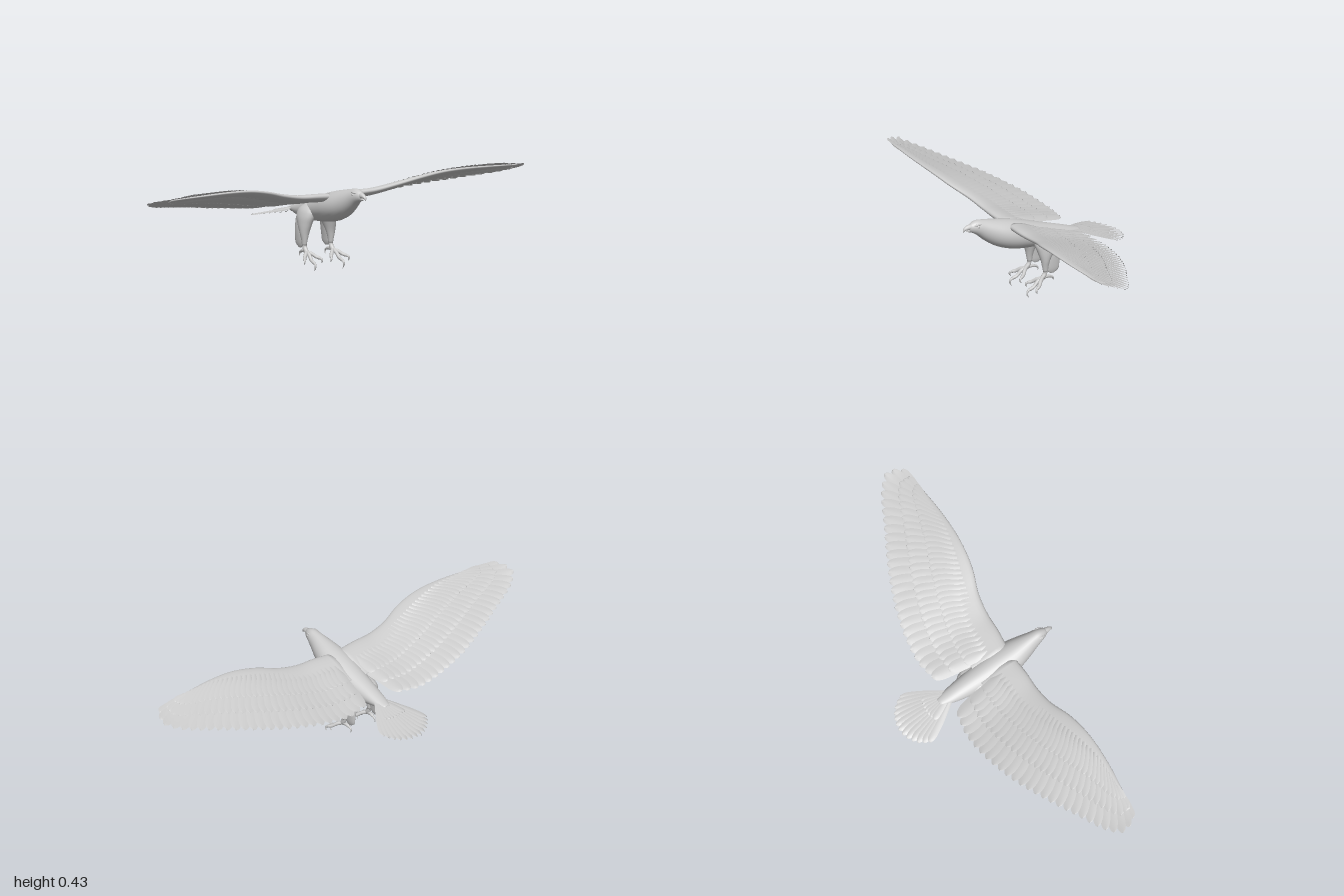
import * as THREE from 'three';
import { mergeGeometries } from 'three/addons/utils/BufferGeometryUtils.js';

const solid = new THREE.MeshStandardMaterial({ color: 0xcccccc });
const thin = new THREE.MeshStandardMaterial({ color: 0xcccccc, side: THREE.DoubleSide });
const { lerp, clamp } = THREE.MathUtils;

// Smooth lookup in rows of [key, ...values], keys ascending
function table(rows) {
  const f = new THREE.CubicInterpolant(rows.map(r => r[0]), rows.flatMap(r => r.slice(1)), rows[0].length - 1);
  return t => Array.from(f.evaluate(clamp(t, rows[0][0], rows.at(-1)[0])));
}

function build(positions, index) {
  const g = new THREE.BufferGeometry();
  g.setAttribute('position', new THREE.Float32BufferAttribute(positions, 3));
  g.setIndex(index);
  g.computeVertexNormals();
  return g;
}

// Capped skin over count+1 closed rings of n points; ringPoint(t, angle) -> [x, y, z]
function loft(count, n, ringPoint) {
  const pos = [], idx = [];
  for (let i = 0; i <= count; i++)
    for (let j = 0; j < n; j++) pos.push(...ringPoint(i / count, j / n * Math.PI * 2));
  for (let i = 0; i < count; i++)
    for (let j = 0; j < n; j++) {
      const a = i * n + j, b = i * n + (j + 1) % n;
      idx.push(a, b, a + n, b, b + n, a + n);
    }
  for (const row of [0, count]) {
    const c = [0, 0, 0], k = pos.length / 3;
    for (let j = 0; j < n; j++) for (let m = 0; m < 3; m++) c[m] += pos[(row * n + j) * 3 + m] / n;
    pos.push(...c);
    for (let j = 0; j < n; j++) {
      const a = row * n + j, b = row * n + (j + 1) % n;
      row ? idx.push(k, a, b) : idx.push(k, b, a);
    }
  }
  return build(pos, idx);
}

// Tapered tube through points [x, y, z, radius]
function taper(points, count = 10, n = 10) {
  const path = new THREE.CatmullRomCurve3(points.map(p => new THREE.Vector3(p[0], p[1], p[2])));
  const radius = table(points.map((p, i) => [i / (points.length - 1), p[3]]));
  const { normals, binormals } = path.computeFrenetFrames(count);
  return loft(count, n, (t, a) => {
    const i = Math.round(t * count), r = radius(t)[0];
    // frames are looked up by arc length, which is near enough to t on these short paths
    return path.getPoint(t).addScaledVector(normals[i], Math.cos(a) * r)
      .addScaledVector(binormals[i], Math.sin(a) * r).toArray();
  });
}

// Vertical loft from rows of [y, x, z, rx, rz], drawn top down
function limb(rows) {
  const f = table(rows), lo = rows[0][0], hi = rows.at(-1)[0];
  return loft(24, 20, (t, a) => {
    const y = lerp(hi, lo, t), [x, z, rx, rz] = f(y);
    return [x + rx * Math.cos(a), y, z + rz * Math.sin(a)];
  });
}

// Cambered feather from base to tip [x, z], resting on a height surface
function feather(base, tip, halfWidth, surface, liftBase, liftTip) {
  const pos = [], idx = [], U = 12, V = 4;
  const dx = tip[0] - base[0], dz = tip[1] - base[1], len = Math.hypot(dx, dz);
  for (let i = 0; i <= U; i++) {
    const t = 1 - (1 - i / U) ** 1.6;
    const end = t > 0.78 ? Math.sqrt(Math.max(0, 1 - ((t - 0.78) / 0.22) ** 2)) : 1;
    const w = halfWidth * Math.min(1, 0.45 + t) * end;
    for (let j = 0; j <= V; j++) {
      const s = j / V * 2 - 1;
      const x = base[0] + dx * t - dz / len * s * w, z = base[1] + dz * t + dx / len * s * w;
      pos.push(x, surface(x, z) + lerp(liftBase, liftTip, t) + 0.003 * s + 0.003 * (1 - s * s), z);
    }
  }
  for (let i = 0; i < U; i++)
    for (let j = 0; j < V; j++) {
      const a = i * (V + 1) + j, b = a + V + 1;
      idx.push(a, a + 1, b, a + 1, b + 1, b);
    }
  return build(pos, idx);
}

function add(parent, name, geometry, material = solid) {
  const m = new THREE.Mesh(geometry, material);
  m.name = name;
  parent.add(m);
  return m;
}

// Wing plan: leading edge [x, z, y] and trailing edge [x, z]
const lead = table([[0.03, 0.185, 0.34], [0.12, 0.192, 0.346], [0.2, 0.192, 0.35], [0.3, 0.205, 0.368], [0.4, 0.238, 0.394],
  [0.5, 0.256, 0.412], [0.6, 0.262, 0.418], [0.8, 0.25, 0.413], [0.95, 0.22, 0.403], [1, 0.17, 0.392]]);
const trailPoints = [[0.11, -0.16], [0.2, -0.175], [0.3, -0.168], [0.4, -0.148], [0.5, -0.118], [0.6, -0.078],
  [0.7, -0.03], [0.8, 0.022], [0.9, 0.073], [0.965, 0.115], [0.998, 0.16], [0.965, 0.217]];
const trail = table(trailPoints.slice(0, 11));
const spline = pts => new THREE.SplineCurve(pts.map(p => new THREE.Vector2(...p)));
const tips = spline(trailPoints);
const roots = spline([[0.06, 0.1], [0.2, 0.13], [0.35, 0.17], [0.5, 0.21], [0.62, 0.235], [0.72, 0.237], [0.8, 0.235]]);
function wingHeight(x, z) {
  const [zl, y] = lead(x);
  return y - lerp(0.22, 0.32, clamp((x - 0.1) / 0.4, 0, 1)) * (zl - z);
}

// Row of feathers spanning fractions from..to of the way from arm to trailing edge
function featherRow(count, from, to, width, liftBase, liftTip) {
  const list = [];
  for (let i = 0; i < count; i++) {
    const u = i / (count - 1), b = roots.getPointAt(u), e = tips.getPointAt(u);
    const p = b.clone().lerp(e, from).toArray(), q = b.clone().lerp(e, to).toArray();
    list.push(feather(p, q, width * lerp(1, 0.62, u * u), wingHeight, liftBase, liftTip));
  }
  return mergeGeometries(list);
}

function makeWing() {
  const g = new THREE.Group();
  g.name = 'wing';
  add(g, 'wingArm', loft(48, 28, (t, a) => {
    const x = lerp(0.03, 0.92, t), zl = lead(x)[0], s = (1 - Math.sin(a)) / 2;
    const z = zl - 0.52 * (zl - trail(x)[0]) * s;
    return [x, wingHeight(x, z) + lerp(0.03, 0.008, t) * (1 - s) * Math.cos(a), z];
  }));
  add(g, 'flightFeathers', featherRow(27, 0, 1, 0.032, 0, 0), thin);
  add(g, 'upperCoverts', featherRow(30, 0.05, 0.7, 0.027, 0.006, 0.004), thin);
  add(g, 'smallUpperCoverts', featherRow(34, 0, 0.42, 0.024, 0.012, 0.007), thin);
  add(g, 'underCoverts', featherRow(30, 0.05, 0.6, 0.027, -0.01, -0.007), thin);
  return g;
}

function makeLeg() {
  const g = new THREE.Group();
  g.name = 'leg';
  add(g, 'thigh', limb([[0.105, 0.07, 0.018, 0.010, 0.011], [0.13, 0.07, 0.019, 0.014, 0.015], [0.16, 0.069, 0.018, 0.021, 0.022],
    [0.2, 0.064, 0.013, 0.029, 0.04], [0.24, 0.056, 0.01, 0.033, 0.056], [0.27, 0.048, 0.012, 0.026, 0.05], [0.29, 0.04, 0.012, 0.008, 0.02]]));
  add(g, 'thighFeathers', limb([[0.092, 0.07, -0.016, 0.002, 0.009], [0.105, 0.07, -0.018, 0.006, 0.027], [0.13, 0.07, -0.018, 0.009, 0.034],
    [0.19, 0.066, -0.02, 0.014, 0.035], [0.24, 0.056, -0.018, 0.016, 0.034], [0.27, 0.047, -0.015, 0.006, 0.022]]));
  add(g, 'shank', taper([[0.07, 0.125, 0.018, 0.011], [0.07, 0.1, 0.02, 0.01], [0.07, 0.085, 0.028, 0.011], [0.07, 0.074, 0.04, 0.009]]));
  // Front toes: [sideways reach, forward reach, drop]
  for (const [sx, f, d] of [[-0.04, 0.72, 0.62], [0.005, 1, 1], [0.042, 0.72, 0.62]]) {
    const at = (k, y, z, r) => [0.07 + sx * k, 0.077 - (0.077 - y) * d, 0.035 + (z - 0.035) * f, r];
    add(g, 'toe', taper([at(0, 0.077, 0.035, 0.009), at(0.4, 0.066, 0.06, 0.0085), at(0.75, 0.046, 0.08, 0.008),
      at(1, 0.038, 0.1, 0.0075), at(1.05, 0.035, 0.106, 0.003)], 14));
    add(g, 'claw', taper([at(1, 0.038, 0.1, 0.006), at(1.1, 0.031, 0.112, 0.005), at(1.15, 0.016, 0.114, 0.0035), at(1.15, 0.001, 0.105, 0.0005)]));
  }
  add(g, 'backToe', taper([[0.07, 0.076, 0.035, 0.009], [0.069, 0.081, 0.012, 0.008], [0.068, 0.077, -0.006, 0.007], [0.068, 0.074, -0.011, 0.003]]));
  add(g, 'backClaw', taper([[0.068, 0.077, -0.006, 0.0055], [0.068, 0.073, -0.017, 0.0045], [0.068, 0.063, -0.023, 0.003], [0.068, 0.052, -0.021, 0.0005]]));
  return g;
}

export function createModel() {
  const model = new THREE.Group();
  model.name = 'eagle';

  // Body and head: rows of [z, bottom, top, half width]
  const body = table([[-0.19, 0.239, 0.25, 0.016], [-0.15, 0.227, 0.263, 0.031], [-0.1, 0.214, 0.28, 0.042], [-0.05, 0.209, 0.296, 0.05],
    [0, 0.209, 0.312, 0.057], [0.05, 0.211, 0.328, 0.064], [0.1, 0.215, 0.344, 0.069], [0.15, 0.222, 0.358, 0.071], [0.2, 0.236, 0.369, 0.066],
    [0.25, 0.259, 0.379, 0.053], [0.3, 0.295, 0.388, 0.037], [0.33, 0.322, 0.391, 0.029], [0.355, 0.338, 0.384, 0.02], [0.368, 0.346, 0.376, 0.011]]);
  add(model, 'body', loft(56, 32, (t, a) => {
    const z = lerp(0.368, -0.19, t), [lo, hi, w] = body(z);
    return [w * Math.cos(a), (lo + hi) / 2 - (hi - lo) / 2 * Math.sin(a), z];
  }));
  add(model, 'upperBeak', taper([[0, 0.364, 0.345, 0.018], [0, 0.365, 0.365, 0.0135], [0, 0.363, 0.382, 0.010],
    [0, 0.356, 0.393, 0.006], [0, 0.345, 0.397, 0.0008]], 16, 14));
  add(model, 'lowerBeak', taper([[0, 0.35, 0.345, 0.012], [0, 0.349, 0.365, 0.008], [0, 0.348, 0.382, 0.002]]));

  // Tail fan, outer feathers under the middle ones
  const tailHeight = (x, z) => 0.246 + 0.24 * (z + 0.16);
  const fan = [];
  for (let i = 0; i < 13; i++) {
    const k = i / 6 - 1, a = k * 0.66, len = 0.242 - 0.04 * k * k;
    fan.push(feather([k * 0.02, -0.14], [Math.sin(a) * len, -0.158 - Math.cos(a) * len], 0.019, tailHeight, 0, -0.005 * Math.abs(k)));
  }
  add(model, 'tailFeathers', mergeGeometries(fan), thin);
  const cover = [];
  for (let i = 0; i < 7; i++) {
    const a = (i / 3 - 1) * 0.42;
    cover.push(feather([0, -0.13], [Math.sin(a) * 0.13, -0.14 - Math.cos(a) * 0.12], 0.018, tailHeight, 0.004, 0.003));
  }
  add(model, 'tailCoverts', mergeGeometries(cover), thin);

  // Paired parts, mirrored for the right side
  for (const side of [1, -1]) {
    const half = new THREE.Group();
    half.name = side > 0 ? 'leftSide' : 'rightSide';
    half.add(makeWing(), makeLeg());
    add(half, 'eye', new THREE.SphereGeometry(0.006, 16, 12)).position.set(0.0235, 0.367, 0.332);
    add(half, 'brow', taper([[0.022, 0.376, 0.318, 0.003], [0.023, 0.3765, 0.333, 0.0045], [0.016, 0.374, 0.35, 0.003]]));
    half.scale.x = side;
    model.add(half);
  }
  return model;
}
